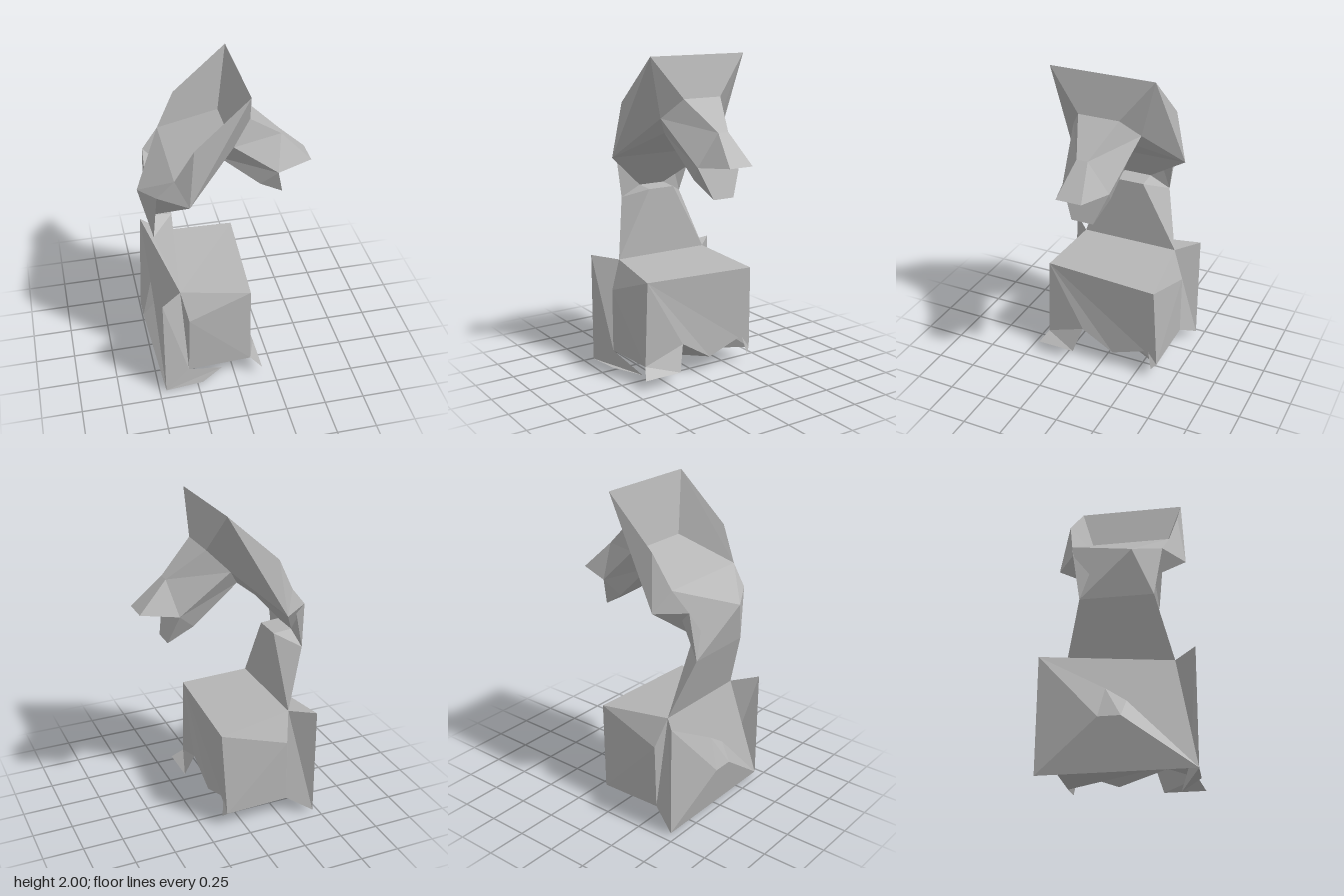
import * as THREE from 'three';

const grey = new THREE.MeshStandardMaterial({ color: 0xb6b6b6, flatShading: true, side: THREE.DoubleSide });
grey.name = 'stone grey';

// Folded sheet: each face is a loop of corner points, fanned from its first corner
function sheet(name, faces) {
  const pos = [];
  for (const f of faces)
    for (let i = 1; i < f.length - 1; i++) pos.push(...f[0], ...f[i], ...f[i + 1]);
  const g = new THREE.BufferGeometry();
  g.setAttribute('position', new THREE.Float32BufferAttribute(pos, 3));
  g.computeVertexNormals();
  const m = new THREE.Mesh(g, grey);
  m.name = name;
  return m;
}

const flip = ([x, y, z]) => [x, y, -z];
// Each face together with its mirror image across z = 0
const both = (faces) => [...faces, ...faces.map((f) => f.map(flip).reverse())];
// Four-cornered band from edge a to edge b, spanning to the mirrored side
const span = (a, b) => [a, b, flip(b), flip(a)];

export function createModel() {
  const group = new THREE.Group();

  // Shared corners, on the +z side unless marked R
  const shoulder = [-0.33, 0.7, 0.32];
  const bodyBack = [-0.3, 0.11, 0.39], bodyMid = [-0.29, 0.52, 0.395];
  const topFront = [0.1, 0.66, 0.37], topFrontR = [0.14, 0.65, -0.37];
  const lowFront = [0.1, 0.13, 0.39], lowFrontR = [0.11, 0.1, -0.39];
  const wingTop = [-0.46, 0.72, 0.45], wingLow = [-0.46, 0.015, 0.45];

  // Ragged lower edge of the body front
  const spur = [0.17, 0.07, 0.43], spurIn = [0.17, 0.07, 0.18], notch = [0.12, 0.23, 0.13];
  const dip = [0.11, 0.1, -0.08], notchR = [0.11, 0.19, -0.33], spurR = [0.13, 0.07, -0.36];

  group.add(sheet('body', [
    [shoulder, topFront, topFrontR, flip(shoulder)],
    [bodyMid, bodyBack, lowFront, topFront, shoulder],
    [shoulder, bodyBack, bodyMid],
    [flip(bodyMid), flip(shoulder), topFrontR, lowFrontR, flip(bodyBack)],
    [flip(shoulder), flip(bodyMid), flip(bodyBack)],
    [bodyBack, flip(bodyBack), lowFrontR, notchR, dip, notch, lowFront],
  ]));
  group.add(sheet('bodyFront', [
    [topFront, lowFront, notch], [lowFront, spur, spurIn, notch],
    [topFront, notch, dip], [topFront, dip, notchR], [topFront, notchR, lowFrontR],
    [notchR, spurR, lowFrontR], [topFront, lowFrontR, topFrontR],
  ]));

  // Flared side wings and the folded back with its small bulge
  group.add(sheet('backWings', both([[wingTop, wingLow, bodyBack, shoulder]])));
  const bulgeA = [-0.53, 0.31, -0.09], bulgeB = [-0.53, 0.31, 0.04];
  const foldA = [-0.46, 0.5, -0.06], foldB = [-0.46, 0.42, 0.06];
  group.add(sheet('backPanel', [
    [shoulder, flip(shoulder), flip(wingTop)],
    [flip(wingTop), wingLow, shoulder],
    [flip(wingTop), flip(wingLow), bulgeA],
    [flip(wingLow), wingLow, bulgeB, bulgeA],
    [flip(wingTop), bulgeA, foldA],
    [wingLow, foldB, bulgeB],
    [foldA, bulgeA, bulgeB, foldB],
  ]));
  group.add(sheet('baseFlap', [
    [wingLow, flip(wingLow), flip(bodyBack), bodyBack],
    [wingLow, [-0.22, 0.03, 0.44], [-0.07, 0, 0.31], bodyBack],
  ]));

  // Neck
  const throat = [-0.33, 1.13, 0.09], nape = [-0.46, 1.07, 0.22], gullet = [-0.45, 1.14, 0.09];
  group.add(sheet('neck', [
    span(shoulder, throat), span(nape, shoulder), span(throat, gullet),
    ...both([[shoulder, nape, throat], [nape, gullet, throat]]),
  ]));

  // Collar joining neck and head, its back corner set to one side
  const collarBack = [-0.53, 1.34, 0.1], collarSide = [-0.44, 1.38, 0.27];
  const jaw = [-0.27, 1.37, 0.39], crownBack = [-0.34, 1.5, 0.3];
  group.add(sheet('collar', [
    [crownBack, flip(crownBack), collarBack],
    [flip(crownBack), flip(nape), collarBack], [collarBack, flip(nape), nape],
    [crownBack, collarBack, collarSide], [collarBack, nape, collarSide],
    [flip(crownBack), flip(collarSide), flip(nape)],
    span(gullet, jaw),
    ...both([
      [crownBack, collarSide, jaw], [collarSide, gullet, jaw], [collarSide, nape, gullet],
    ]),
  ]));

  // Head, hollowed out at the back
  const crown = [0.09, 2, 0.33], ridge = [-0.23, 1.71, 0.34];
  const brow = [0.135, 1.75, 0.13], cheek = [0.02, 1.63, 0.22], chin = [-0.05, 1.53, 0.15];
  group.add(sheet('head', [
    span(crown, cheek), span(cheek, crownBack), span(crown, brow), span(chin, jaw),
    ...both([
      [crown, ridge, jaw], [ridge, crownBack, jaw],
      [crown, cheek, crownBack, ridge],
      [crown, jaw, cheek], [crown, cheek, brow], [cheek, jaw, chin],
    ]),
  ]));

  // Muzzle with an open mouth
  const bridge = [0.35, 1.57, 0.035], noseTip = [0.53, 1.39, 0.08];
  const mouth = [0.31, 1.37, 0.15], lip = [0.36, 1.18, 0.07], lipBack = [0.21, 1.28, 0.11];
  group.add(sheet('muzzle', [
    span(brow, bridge), span(bridge, noseTip), span(noseTip, mouth), span(mouth, lip),
    span(lip, lipBack), span(lipBack, chin),
    ...both([
      [brow, cheek, bridge], [cheek, mouth, bridge], [bridge, mouth, noseTip],
      [cheek, chin, mouth], [chin, lipBack, mouth], [lipBack, lip, mouth],
    ]),
  ]));

  return group;
}
